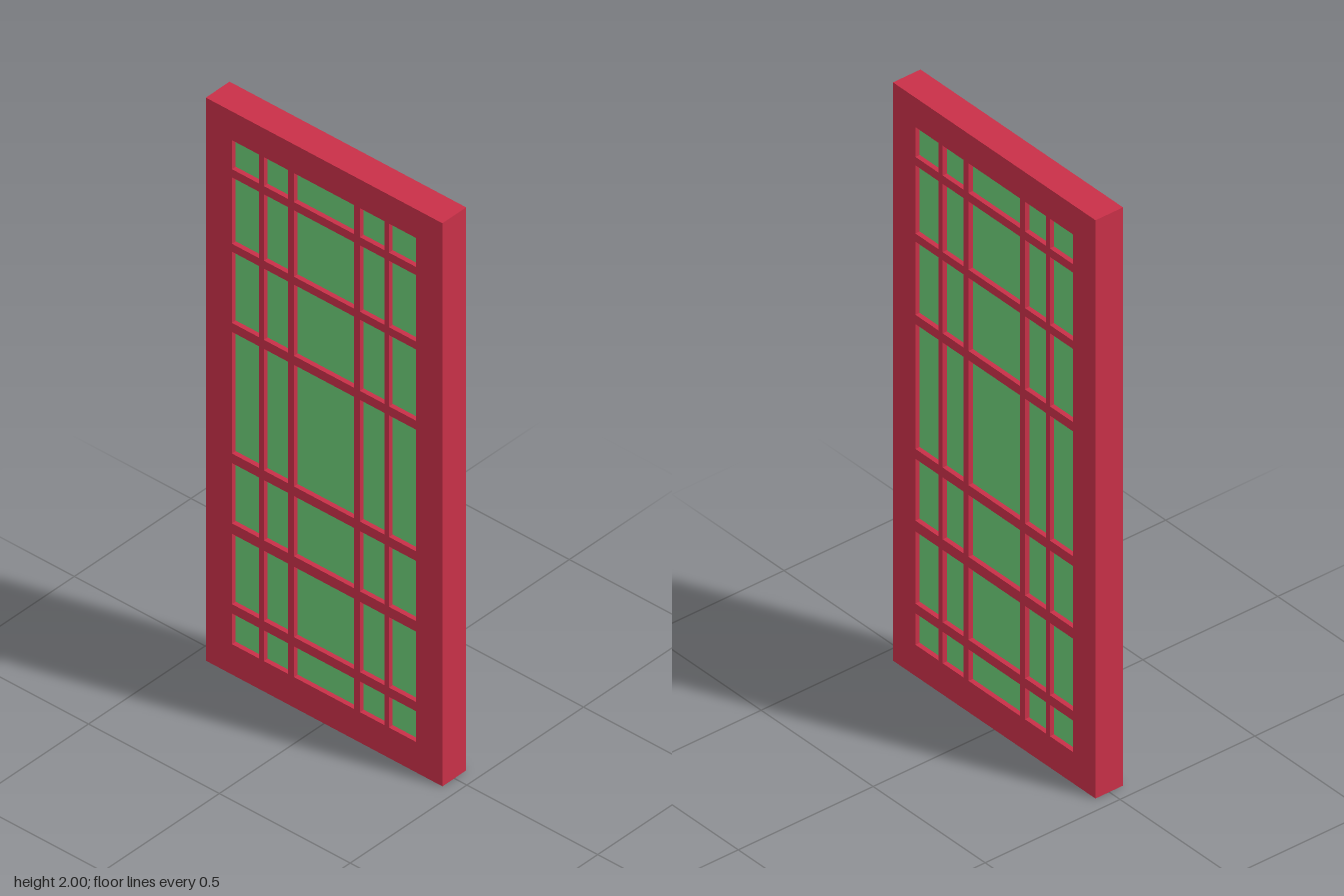
import * as THREE from 'three';

const WIDTH = 0.904, HEIGHT = 2, DEPTH = 0.102, RECESS = 0.016;

// Start and end of each pane opening, across and up
const columns = [[-0.352, -0.248], [-0.23, -0.137], [-0.115, 0.115], [0.137, 0.23], [0.248, 0.352]];
const rows = [[0.108, 0.217], [0.25, 0.5], [0.537, 0.751], [0.785, 1.217], [1.249, 1.502], [1.53, 1.766], [1.795, 1.898]];

function rectangle(PathType, x0, x1, y0, y1) {
  return new PathType([
    new THREE.Vector2(x0, y0), new THREE.Vector2(x1, y0),
    new THREE.Vector2(x1, y1), new THREE.Vector2(x0, y1),
  ]);
}

export function createModel() {
  const group = new THREE.Group();
  group.name = 'glazedDoor';

  // Frame and glazing bars: one slab pierced by the pane openings
  const shape = rectangle(THREE.Shape, -WIDTH / 2, WIDTH / 2, 0, HEIGHT);
  for (const [x0, x1] of columns) {
    for (const [y0, y1] of rows) shape.holes.push(rectangle(THREE.Path, x0, x1, y0, y1));
  }
  const frameGeometry = new THREE.ExtrudeGeometry(shape, { depth: DEPTH, bevelEnabled: false });
  frameGeometry.translate(0, 0, -DEPTH / 2);
  const frame = new THREE.Mesh(frameGeometry, new THREE.MeshStandardMaterial({ color: 0xc93048 }));
  frame.name = 'frameAndBars';
  group.add(frame);

  // Glass panes, recessed equally on both faces
  const glassMaterial = new THREE.MeshStandardMaterial({ color: 0x6ccb77 });
  const panes = new THREE.Group();
  panes.name = 'glassPanes';
  for (const [x0, x1] of columns) {
    for (const [y0, y1] of rows) {
      const pane = new THREE.Mesh(new THREE.BoxGeometry(x1 - x0, y1 - y0, DEPTH - 2 * RECESS), glassMaterial);
      pane.position.set((x0 + x1) / 2, (y0 + y1) / 2, 0);
      pane.name = 'glassPane';
      panes.add(pane);
    }
  }
  group.add(panes);

  return group;
}
